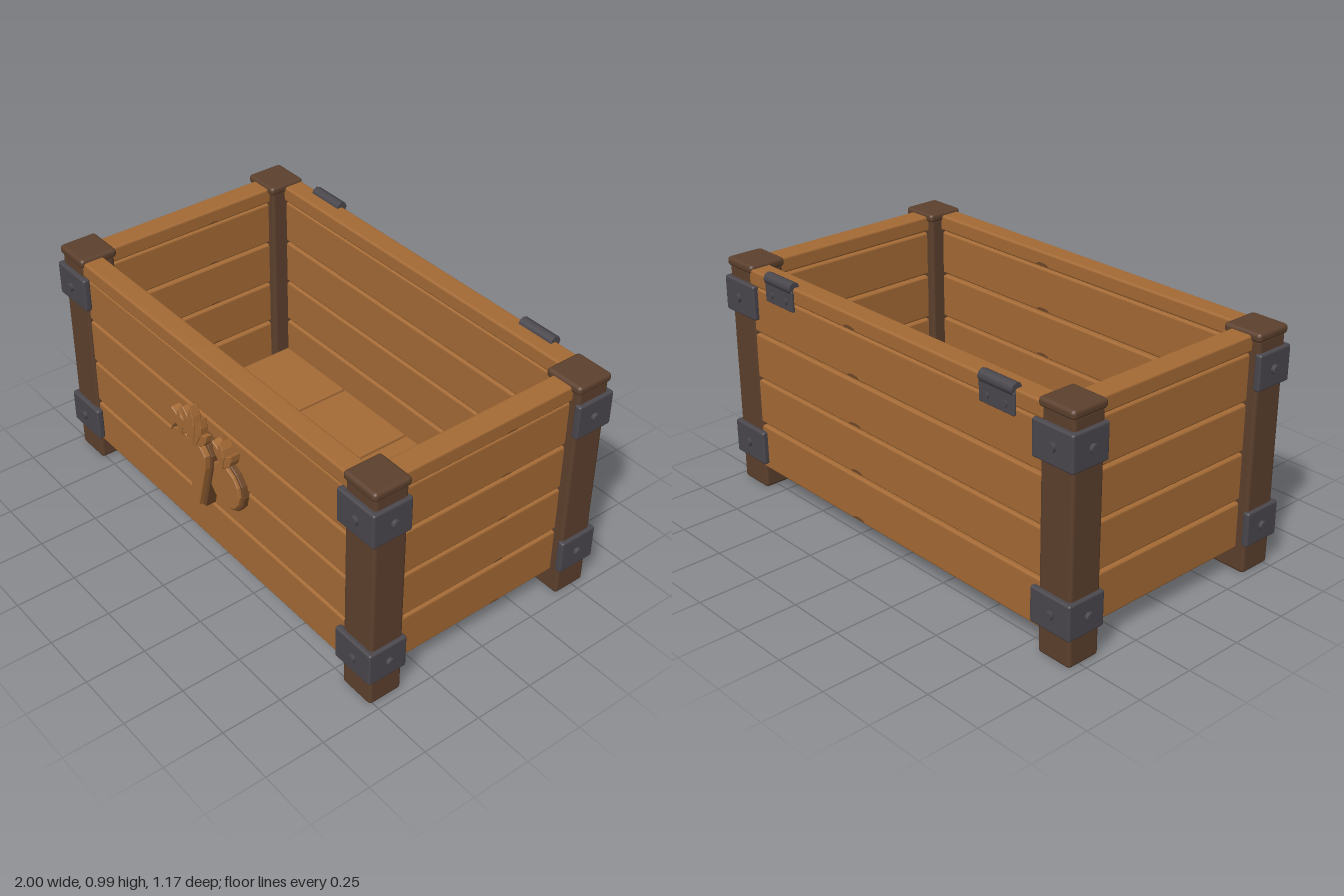
import * as THREE from 'three';
import { RoundedBoxGeometry } from 'three/addons/geometries/RoundedBoxGeometry.js';

const mat = (name, color) => {
  const m = new THREE.MeshStandardMaterial({ color });
  m.name = name;
  return m;
};

export function createModel() {
  const wood = mat('plankWood', 0xa46a35);
  const darkWood = mat('postWood', 0x5c402d);
  const knotWood = mat('knotWood', 0x6e4727);
  const metal = mat('iron', 0x4a474d);
  const model = new THREE.Group();
  const CZ = -0.019; // crate centre in z

  const add = (name, geo, material, x = 0, y = 0, z = 0, parent = model) => {
    const m = new THREE.Mesh(geo, material);
    m.name = name;
    m.position.set(x, y, z);
    parent.add(m);
    return m;
  };
  // Soft-edged box given by its centre and size
  const box = (name, material, x, y, z, w, h, d, r = 0.01, parent = model) =>
    add(name, new RoundedBoxGeometry(w, h, d, 2, r), material, x, y, z, parent);
  // Thin wood knot; flat disc facing +z before rotation
  const knot = (x, y, z, rx, ry, rotX, rotY, half = false) => {
    const geo = half ? new THREE.CircleGeometry(1, 10, 0, Math.PI) : new THREE.CircleGeometry(1, 12);
    const m = add('knot', geo.scale(rx, ry, 1), knotWood, x, y, z);
    m.rotation.set(rotX, rotY, 0);
  };

  // Walls: four planks and a thicker top rail on each side
  const rows = [[0.097, 0.292], [0.303, 0.496], [0.504, 0.697], [0.706, 0.896], [0.905, 0.972]];
  rows.forEach(([y0, y1], i) => {
    const rail = i === 4;
    const y = (y0 + y1) / 2, h = y1 - y0;
    const t = rail ? 0.09 : 0.072;
    const name = rail ? 'topRail' : 'wallPlank';
    for (const z of [0.469, -0.515]) {
      box(name, wood, 0, y, z, 1.66, h, t);
      knot(0.19, y0 + 0.008, z - t / 2 - 0.001, 0.035, 0.012, 0, Math.PI, true);
    }
    for (const x of [0.888, -0.888]) {
      box(name, wood, x, y, CZ, t + 0.006, h, 0.82);
      knot(x + t / 2 + 0.004, y0 + 0.006, -0.12, 0.025, 0.007, 0, Math.PI / 2, true);
    }
  });

  // Floor boards with knots
  const spots = [[-0.73, 0.15], [-0.36, 0.17], [0.08, 0.12], [0.455, 0.125]];
  const edgeSpots = [[-0.438, -0.11], [-0.022, -0.095], [0.391, -0.13], [0.8, -0.125]];
  for (let i = 0; i < 4; i++) {
    box('floorBoard', wood, -0.615 + i * 0.41, 0.122, -0.022, 0.402, 0.054, 0.92);
    knot(spots[i][0], 0.1505, spots[i][1], 0.01, 0.013, -Math.PI / 2, 0);
    knot(edgeSpots[i][0], 0.1505, edgeSpots[i][1], 0.018, 0.036, -Math.PI / 2, 0);
  }

  // Bolt pointing along an axis
  const bolt = (x, y, z, axis, len, r, parent) => {
    const m = add('bolt', new THREE.CylinderGeometry(r, r, len, 12), metal, x, y, z, parent);
    if (axis === 'x') m.rotation.z = Math.PI / 2;
    else m.rotation.x = Math.PI / 2;
  };

  // Corner posts with caps and two iron corner brackets each
  for (const sx of [-1, 1]) for (const sz of [-1, 1]) {
    const corner = new THREE.Group();
    corner.name = 'cornerPost';
    model.add(corner);
    const x = sx * 0.892, z = CZ + sz * 0.463;
    box('post', darkWood, x, 0.48, z, 0.156, 0.96, 0.145, 0.014, corner);
    box('postCap', darkWood, x, 0.967, z, 0.168, 0.038, 0.163, 0.015, corner);
    for (const y of [0.195, 0.835]) {
      box('bracketFace', metal, sx * 0.8875, y, CZ + sz * 0.539, 0.195, 0.145, 0.03, 0.009, corner);
      box('bracketSide', metal, sx * 0.97, y, CZ + sz * 0.4685, 0.03, 0.145, 0.171, 0.009, corner);
      bolt(sx * 0.892, y, CZ + sz * 0.556, 'z', 0.024, 0.018, corner);
      bolt(sx * 0.988, y, z, 'x', 0.024, 0.018, corner);
    }
  }

  // Hinges on the back rail
  for (const sx of [-1, 1]) {
    const hinge = new THREE.Group();
    hinge.name = 'hinge';
    model.add(hinge);
    const x = sx * 0.618;
    box('hingePlate', metal, x, 0.917, -0.564, 0.175, 0.085, 0.014, 0.005, hinge);
    const k = add('hingeKnuckle', new THREE.CylinderGeometry(0.025, 0.025, 0.168, 8), metal, x, 0.969, -0.554, hinge);
    k.rotation.z = Math.PI / 2;
    for (const dx of [-0.045, 0.045]) bolt(x + dx, 0.91, -0.572, 'z', 0.012, 0.013, hinge);
  }

  // Carved vegetable emblem on the front
  const emblem = new THREE.Group();
  emblem.name = 'vegetableEmblem';
  model.add(emblem);
  const slab = (name, shape, material, z0, z1) => {
    const b = 0.003;
    const geo = new THREE.ExtrudeGeometry(shape, {
      depth: z1 - z0 - 2 * b, bevelEnabled: true, bevelSize: b, bevelThickness: b,
      bevelOffset: -b, bevelSegments: 1, curveSegments: 8,
    });
    add(name, geo, material, 0, 0, z0 + b, emblem);
  };
  const poly = (pts) => new THREE.Shape(pts.map(([x, y]) => new THREE.Vector2(x, y)));
  const disc = (cx, cy, r) => poly(Array.from({ length: 14 }, (_, i) => {
    const a = (i / 14) * Math.PI * 2;
    return [cx + r * Math.cos(a), cy + r * Math.sin(a)];
  }));
  // Pointed leaf from a base point to a tip
  const leaf = (bx, by, tx, ty, w, z0, z1) => {
    const dx = tx - bx, dy = ty - by, l = Math.hypot(dx, dy);
    const nx = (-dy / l) * w, ny = (dx / l) * w;
    const at = (t, s) => [bx + dx * t + nx * s, by + dy * t + ny * s];
    slab('leaf', poly([at(0, -0.4), at(0.5, -1), at(0.75, -0.7), at(1, 0), at(0.75, 0.7), at(0.5, 1), at(0, 0.4)]), wood, z0, z1);
  };

  // Round vegetables, rim behind face, with three leaves each
  for (const cx of [-0.127, 0.138]) {
    slab('turnipRim', disc(cx, 0.485, 0.11), knotWood, 0.498, 0.528);
    slab('turnip', disc(cx, 0.485, 0.097), wood, 0.52, 0.541);
    leaf(cx, 0.575, cx - 0.062, 0.66, 0.02, 0.5, 0.543);
    leaf(cx, 0.575, cx + 0.062, 0.66, 0.02, 0.5, 0.546);
    leaf(cx, 0.575, cx, 0.692, 0.022, 0.5, 0.552);
  }
  // Carrot, rim behind face
  const carrot = (d) => {
    const half = [[0.024 - d, 0.312 + d], [0.078 - d, 0.53], [0.082 - d, 0.59], [0.06 - d, 0.626 - d], [0.02, 0.638 - d]];
    return poly([...half, ...half.map(([x, y]) => [-x, y]).reverse()]);
  };
  slab('carrotRim', carrot(0), knotWood, 0.5, 0.55);
  slab('carrot', carrot(0.012), wood, 0.545, 0.573);
  // Carrot top
  const tips = [[0.085, 0.695, 0.574], [0.055, 0.755, 0.578], [0, 0.79, 0.584]];
  for (const [tx, ty, z] of tips) for (const s of tx ? [-1, 1] : [1]) {
    leaf(s * tx * 0.2, 0.62, s * tx, ty, 0.022, 0.545, z);
  }
  return model;
}
